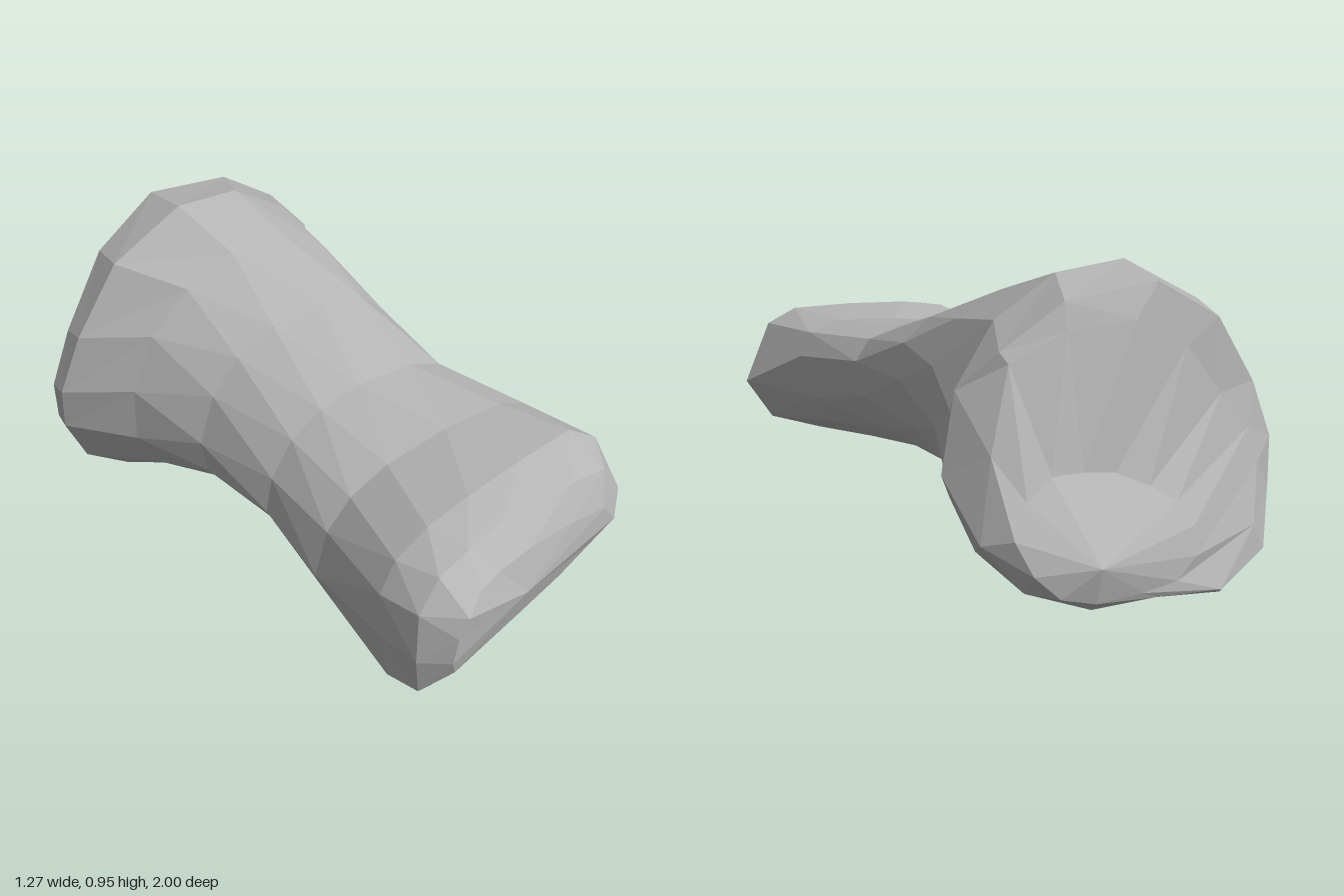
import * as THREE from 'three';

const SIDES = 14;

// Loops run counterclockwise from the left side, front to back.
// Front face of the foot
const FOOT_FACE = [
  [0.53, 0.34, 0.82], [0.47, 0.41, 0.83], [0.33, 0.44, 0.855], [0.15, 0.45, 0.885],
  [0.02, 0.45, 0.915], [-0.07, 0.45, 0.95], [-0.14, 0.42, 0.995], [-0.17, 0.36, 0.995],
  [-0.18, 0.27, 0.99], [-0.15, 0.2, 0.965], [-0.05, 0.2, 0.935], [0.12, 0.21, 0.89],
  [0.32, 0.23, 0.84], [0.46, 0.27, 0.81],
];

// Bevel around the front face
const FOOT_BEVEL = [
  [0.57, 0.41, 0.78], [0.5, 0.51, 0.78], [0.35, 0.53, 0.8], [0.1, 0.53, 0.82],
  [-0.05, 0.515, 0.86], [-0.16, 0.485, 0.88], [-0.235, 0.4, 0.9], [-0.25, 0.25, 0.92],
  [-0.23, 0.12, 0.91], [-0.15, 0.08, 0.88], [0.05, 0.1, 0.83], [0.3, 0.15, 0.78],
  [0.49, 0.2, 0.75], [0.585, 0.29, 0.77],
];

// Widest loop of the foot
const FOOT_GIRTH = [
  [0.635, 0.34, 0.685], [0.55, 0.54, 0.68], [0.46, 0.59, 0.66], [0.25, 0.58, 0.69],
  [0.05, 0.56, 0.72], [-0.1, 0.53, 0.74], [-0.21, 0.47, 0.75], [-0.265, 0.38, 0.76],
  [-0.27, 0.24, 0.78], [-0.25, 0.09, 0.79], [-0.18, 0.037, 0.77], [0.05, 0.065, 0.74],
  [0.38, 0.135, 0.7], [0.55, 0.2, 0.69],
];

// Oval cross-sections of the shaft:
// z, centre x, centre y, half width, half height, rise to the left, lean of the top, z tilt by x, roundness
const SHAFT = [
  [0.45, 0.11, 0.345, 0.375, 0.23, 0.06, 0.06, 0, 0.75],
  [0.18, 0.05, 0.395, 0.315, 0.23, 0.01, 0.09, 0, 0.8],
  [-0.1, -0.01, 0.455, 0.33, 0.29, 0, 0.09, 0, 0.85],
  [-0.35, -0.075, 0.475, 0.395, 0.385, 0, 0.09, -0.05, 0.92],
];

// Widest loop of the head
const HEAD_GIRTH = [
  [0.35, 0.59, -0.58], [0.23, 0.83, -0.59], [0.05, 0.94, -0.58], [-0.17, 0.955, -0.55],
  [-0.41, 0.82, -0.54], [-0.56, 0.6, -0.53], [-0.635, 0.41, -0.54], [-0.635, 0.27, -0.55],
  [-0.56, 0.1, -0.58], [-0.42, 0.015, -0.57], [-0.22, 0, -0.55], [0.02, 0.08, -0.57],
  [0.24, 0.2, -0.59], [0.36, 0.35, -0.6],
];

// Rear rim of the head
const HEAD_RIM = [
  [0.42, 0.46, -0.7], [0.375, 0.68, -0.68], [0.28, 0.79, -0.75], [0.1, 0.905, -0.75],
  [-0.18, 0.93, -0.73], [-0.4, 0.8, -0.68], [-0.56, 0.58, -0.62], [-0.635, 0.4, -0.61],
  [-0.625, 0.26, -0.63], [-0.55, 0.11, -0.74], [-0.34, 0.06, -0.85], [-0.1, 0.09, -0.86],
  [0.15, 0.14, -0.82], [0.35, 0.26, -0.76],
];

// Sloping back face
const BACK_FACE = [
  [0.33, 0.54, -0.82], [0.26, 0.76, -0.765], [0.1, 0.83, -0.77], [-0.1, 0.84, -0.765],
  [-0.28, 0.74, -0.72], [-0.42, 0.58, -0.68], [-0.53, 0.46, -0.66], [-0.55, 0.35, -0.68],
  [-0.5, 0.2, -0.76], [-0.33, 0.08, -0.875], [-0.1, 0.12, -0.92], [0.1, 0.13, -0.94],
  [0.28, 0.2, -0.92], [0.375, 0.32, -0.86],
];

// Low knob at the very back
const BACK_KNOB = [
  [0.31, 0.35, -0.93], [0.26, 0.43, -0.89], [0.18, 0.48, -0.86], [0.08, 0.47, -0.84],
  [-0.02, 0.45, -0.825], [-0.12, 0.4, -0.83], [-0.2, 0.35, -0.84], [-0.24, 0.28, -0.865],
  [-0.24, 0.2, -0.885], [-0.17, 0.15, -0.91], [-0.05, 0.15, -0.94], [0.1, 0.16, -0.97],
  [0.2, 0.19, -0.97], [0.27, 0.26, -0.96],
];

const soften = (v, e) => Math.sign(v) * Math.abs(v) ** e;

// One softened oval; every other one is turned by half a step
function oval([z, cx, cy, hw, hh, rise, lean, tilt, e], index) {
  return Array.from({ length: SIDES }, (_, j) => {
    const a = ((j + (index % 2 ? 0 : 0.5)) / SIDES) * Math.PI * 2;
    const c = soften(Math.cos(a), e), s = soften(Math.sin(a), e);
    const dx = hw * c + lean * s;
    return new THREE.Vector3(cx + dx, cy + hh * s + rise * c, z + tilt * dx);
  });
}

const loop = (points) => points.map((p) => new THREE.Vector3(...p));

function boneGeometry() {
  const rings = [
    ...[FOOT_FACE, FOOT_BEVEL, FOOT_GIRTH].map(loop),
    ...SHAFT.map(oval),
    ...[HEAD_GIRTH, HEAD_RIM, BACK_FACE, BACK_KNOB].map(loop),
  ];
  const points = [];
  const first = rings[0], last = rings[rings.length - 1];
  const frontTip = new THREE.Vector3(0.12, 0.33, 0.925);
  const backTip = new THREE.Vector3(0.1, 0.27, -1);

  for (let j = 0; j < SIDES; j++) {
    const k = (j + 1) % SIDES;
    // Closed ends
    points.push(frontTip, first[j], first[k], backTip, last[k], last[j]);
    // Triangle bands between neighbouring rings
    for (let i = 0; i < rings.length - 1; i++) {
      const a = rings[i], b = rings[i + 1];
      if (i % 2 === 0) points.push(a[j], b[j], a[k], a[k], b[j], b[k]);
      else points.push(a[j], b[j], b[k], a[j], b[k], a[k]);
    }
  }
  const geometry = new THREE.BufferGeometry().setFromPoints(points);
  geometry.computeVertexNormals();
  return geometry;
}

export function createModel() {
  const group = new THREE.Group();
  group.name = 'boneShapedRock';
  const stone = new THREE.MeshStandardMaterial({ color: 0xb4b4b4, flatShading: true });
  stone.name = 'greyStone';
  const body = new THREE.Mesh(boneGeometry(), stone);
  body.name = 'rockBody';
  group.add(body);
  return group;
}
